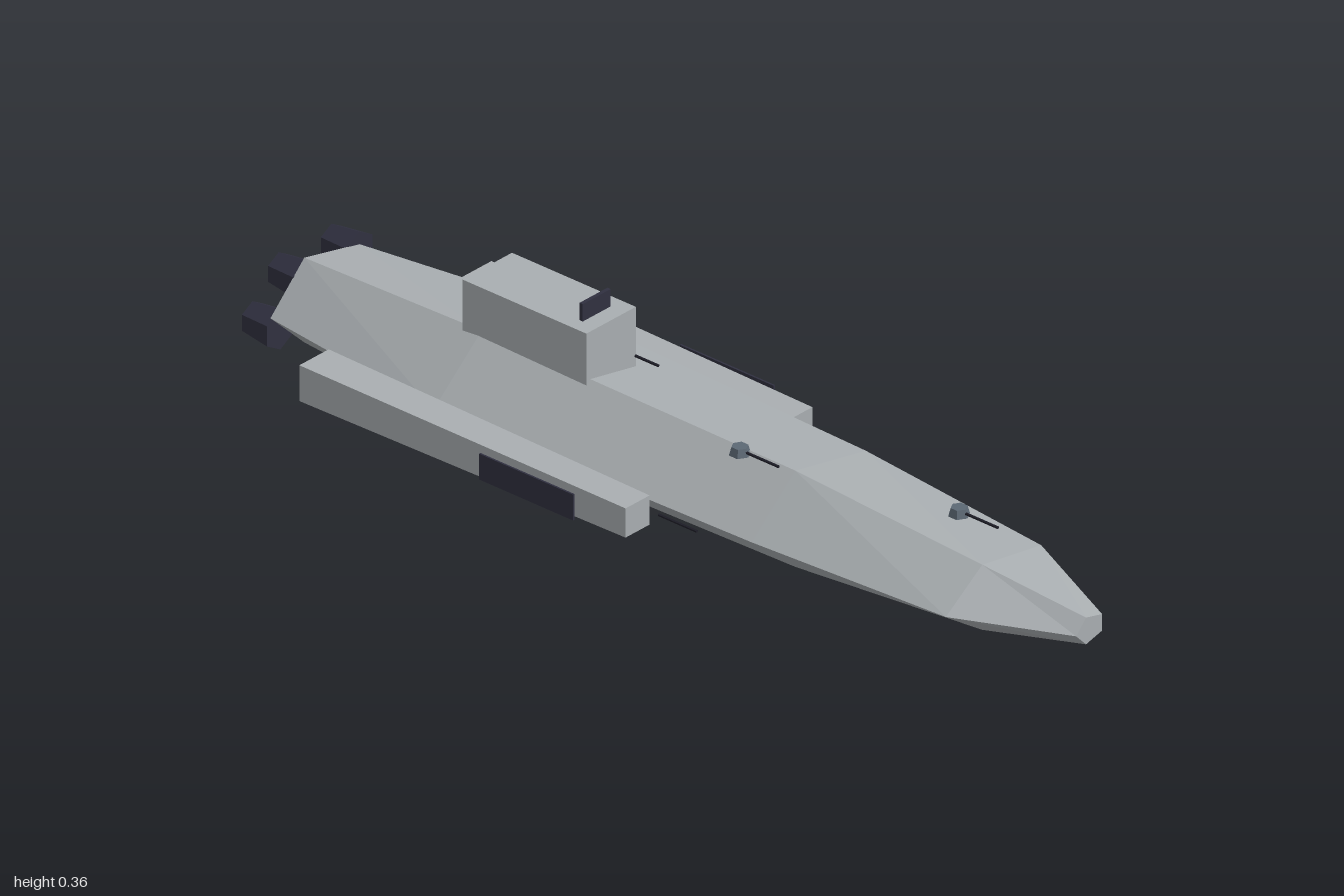
import * as THREE from 'three';

const mat = (name, color, extra = {}) => {
  const m = new THREE.MeshStandardMaterial({ color, flatShading: true, ...extra });
  m.name = name;
  return m;
};

// Five-sided hull lofted through [z, radiusX, radiusY] stations, front to back
function hullGeometry(stations, centreY, sides = 5) {
  const pos = [];
  const point = (s, i) => {
    const [z, rx, ry] = stations[s];
    const a = Math.PI + (i * Math.PI * 2) / sides;
    return [rx * Math.cos(a), centreY + ry * Math.sin(a), z];
  };
  const last = stations.length - 1;
  for (let i = 0; i < sides; i++) {
    for (let s = 0; s < last; s++) {
      const a = point(s, i), b = point(s, i + 1), c = point(s + 1, i), d = point(s + 1, i + 1);
      pos.push(...a, ...c, ...b, ...b, ...c, ...d);
    }
    pos.push(0, centreY, stations[0][0], ...point(0, i), ...point(0, i + 1));
    pos.push(0, centreY, stations[last][0], ...point(last, i + 1), ...point(last, i));
  }
  const g = new THREE.BufferGeometry();
  g.setAttribute('position', new THREE.Float32BufferAttribute(pos, 3));
  g.computeVertexNormals();
  return g;
}

export function createModel() {
  const group = new THREE.Group();
  const plating = mat('hull grey', 0xa9aeb1);
  const dark = mat('dark panel', 0x303040);
  const steel = mat('turret steel', 0x5c6874);
  const black = mat('barrel black', 0x1e1e28);
  const glow = mat('engine yellow', 0xd2b440);

  const add = (name, geometry, material, x, y, z) => {
    const m = new THREE.Mesh(geometry, material);
    m.name = name;
    m.position.set(x, y, z);
    group.add(m);
    return m;
  };
  const box = (w, h, d) => new THREE.BoxGeometry(w, h, d);

  // Main hull
  add('hull', hullGeometry([
    [1, 0.04, 0.03], [0.77, 0.147, 0.073], [0.31, 0.176, 0.108],
    [-0.47, 0.195, 0.119], [-0.93, 0.137, 0.095],
  ], 0.117), plating, 0, 0, 0);

  // Bridge block and its sensor plate
  add('bridge', box(0.138, 0.15, 0.31), plating, 0, 0.253, -0.355);
  add('sensorPlate', box(0.078, 0.04, 0.008), dark, 0, 0.345, -0.24);

  // Tapered side pods with thin outer panels
  const pod = new THREE.CylinderGeometry(0.0335 * Math.SQRT2, 0.041 * Math.SQRT2, 0.81, 4)
    .rotateY(Math.PI / 4).rotateX(Math.PI / 2).scale(1, 0.93, 1);
  for (const side of [-1, 1]) {
    add('sidePod', pod, plating, side * 0.227, 0.104, -0.335);
    add('sidePanel', box(0.004, 0.055, 0.235), dark, side * 0.28, 0.104, -0.16);
  }

  // Staggered engines with glowing ends
  const nozzle = new THREE.CylinderGeometry(0.043, 0.034, 0.07, 6).rotateX(Math.PI / 2);
  const disc = new THREE.CylinderGeometry(0.03, 0.03, 0.002, 6).rotateX(Math.PI / 2);
  [-0.11, -0.037, 0.037, 0.11].forEach((x, i) => {
    const y = i % 2 ? 0.157 : 0.083;
    add('engine', nozzle, dark, x, y, -0.964);
    add('engineGlow', disc, glow, x, y, -0.999);
  });

  // Upper turrets with forward barrels
  const turret = new THREE.CylinderGeometry(0.0165, 0.0215, 0.017, 6);
  const barrel = new THREE.CylinderGeometry(0.003, 0.003, 0.095, 6).rotateX(Math.PI / 2);
  for (const [x, y, z] of [[0.068, 0.195, 0.61], [-0.07, 0.224, 0.185], [0.068, 0.224, -0.24]]) {
    add('turret', turret, steel, x, y, z);
    add('barrel', barrel, black, x, y, z + 0.05);
  }

  // Lower barrels
  for (const [x, z] of [[0.068, 0.46], [-0.07, 0.03], [0.068, -0.415]]) {
    add('lowerBarrel', barrel, black, x, 0.01, z);
  }
  return group;
}
